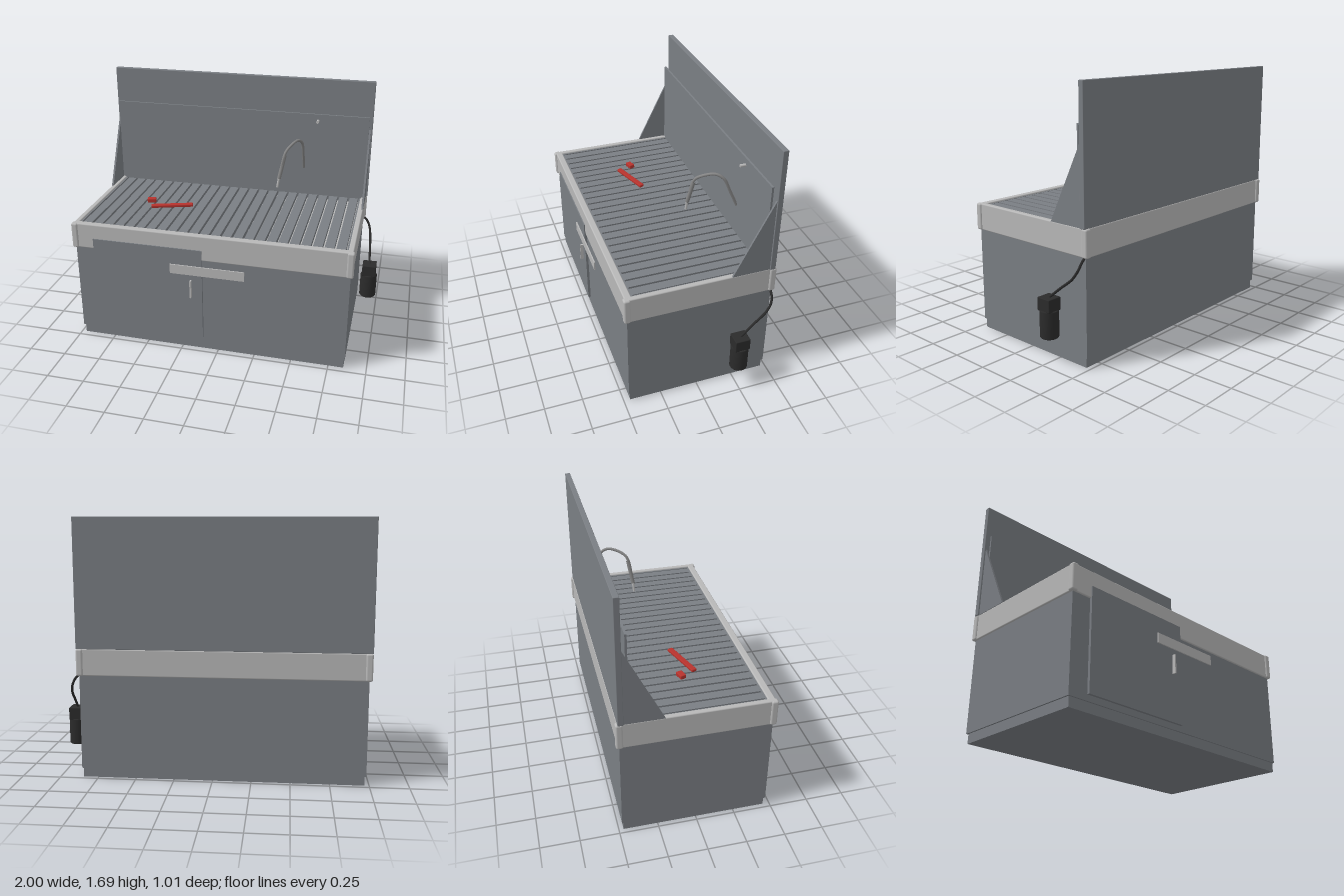
import * as THREE from 'three';
import { RoundedBoxGeometry } from 'three/addons/geometries/RoundedBoxGeometry.js';

const mat = (name, color, side = THREE.FrontSide) => {
  const m = new THREE.MeshStandardMaterial({ color, side });
  m.name = name;
  return m;
};

export function createModel() {
  const group = new THREE.Group();
  const steel = mat('slate steel', 0x7a7e83);
  const light = mat('light aluminium', 0xb8b8b8);
  const chrome = mat('pipe grey', 0x858585);
  const black = mat('black plastic', 0x2b2b2b);
  const red = mat('red tool', 0xb8332d);

  const add = (name, geometry, material, x = 0, y = 0, z = 0) => {
    const mesh = new THREE.Mesh(geometry, material);
    mesh.name = name;
    mesh.position.set(x, y, z);
    group.add(mesh);
    return mesh;
  };
  // Box given by its limits on each axis, optionally with rounded edges
  const box = (name, m, x0, x1, y0, y1, z0, z1, r = 0) => {
    const s = [x1 - x0, y1 - y0, z1 - z0];
    const g = r ? new RoundedBoxGeometry(...s, 3, r) : new THREE.BoxGeometry(...s);
    return add(name, g, m, (x0 + x1) / 2, (y0 + y1) / 2, (z0 + z1) / 2);
  };
  const tube = (name, m, pts, r) => {
    const curve = new THREE.CatmullRomCurve3(pts.map(p => new THREE.Vector3(...p)), false, 'centripetal');
    return add(name, new THREE.TubeGeometry(curve, 40, r, 12), m);
  };

  // Cabinet and plinth
  box('plinth', steel, -0.97, 0.85, 0, 0.062, -0.47, 0.457);
  box('cabinet', steel, -0.98, 0.857, 0.062, 0.69, -0.48, 0.466);

  // Door, label plate and latch
  box('door', steel, -0.85, -0.1, 0.1, 0.755, 0.464, 0.483);
  box('handlePlate', light, -0.315, 0.185, 0.575, 0.64, 0.485, 0.493);
  box('latch', light, -0.18, -0.17, 0.41, 0.535, 0.483, 0.505);

  // Tabletop frame: four rails and rounded corner posts
  const y0 = 0.68, y1 = 0.855;
  box('frontRail', light, -0.97, 0.845, y0, y1, 0.43, 0.476, 0.008);
  box('backRail', light, -0.97, 0.845, y0, y1, -0.49, -0.445, 0.008);
  box('rightRail', light, -0.99, -0.955, y0, y1, -0.475, 0.46, 0.008);
  box('leftRail', light, 0.83, 0.865, y0, y1, -0.475, 0.46, 0.008);
  for (const x of [-0.977, 0.852])
    for (const z of [-0.479, 0.465])
      box('cornerPost', light, x - 0.022, x + 0.022, y0, y1, z - 0.022, z + 0.022, 0.012);

  // Tray floor seen through the slatted worktop
  box('trayFloor', light, -0.96, 0.835, 0.69, 0.81, -0.45, 0.435);
  const slats = 24, gx0 = -0.942, pitch = (0.82 - gx0) / slats;
  for (let i = 0; i < slats; i++) {
    const x = gx0 + i * pitch;
    box('slat', steel, x + 0.007, x + pitch - 0.007, 0.815, 0.845, -0.43, 0.425);
  }
  for (const z of [-0.44, 0.42]) box('slatEndBar', steel, -0.955, 0.83, 0.812, 0.846, z, z + 0.012);
  for (const x of [-0.955, 0.82]) box('slatSideBar', steel, x, x + 0.01, 0.812, 0.846, -0.43, 0.425);

  // Back wall, inner splash panel and triangular side wings
  box('backWall', steel, -1, 0.875, 0.853, 1.687, -0.488, -0.453, 0.003);
  box('splashPanel', steel, -0.978, 0.853, 0.845, 1.447, -0.43, -0.417);
  const wing = new THREE.Shape([
    new THREE.Vector2(0.205, 0.853), new THREE.Vector2(0.455, 0.853), new THREE.Vector2(0.455, 1.355),
  ]);
  const wingGeo = new THREE.ExtrudeGeometry(wing, { depth: 0.013, bevelEnabled: false });
  wingGeo.rotateY(Math.PI / 2);
  add('rightWing', wingGeo, steel, -0.991, 0, 0);
  add('leftWing', wingGeo, steel, 0.853, 0, 0);

  // Tap: bent pipe, thicker hose sleeve, nozzle and wall button
  tube('tapPipe', chrome, [
    [0.412, 1.05, -0.42], [0.412, 1.17, -0.366], [0.407, 1.265, -0.322], [0.385, 1.295, -0.275],
    [0.345, 1.275, -0.195], [0.32, 1.24, -0.157], [0.285, 1.06, -0.126],
  ], 0.0095);
  tube('tapSleeve', chrome, [[0.317, 1.225, -0.154], [0.301, 1.142, -0.14], [0.285, 1.06, -0.126]], 0.013);
  tube('tapNozzle', light, [[0.285, 1.062, -0.126], [0.28, 1.03, -0.124], [0.276, 0.998, -0.122]], 0.008);
  const button = add('wallButton', new THREE.CylinderGeometry(0.01, 0.01, 0.04, 16), light, 0.5, 1.4, -0.4);
  button.rotation.x = Math.PI / 2;

  // Red tool and block lying on the worktop
  box('redBar', red, -0.582, -0.293, 0.845, 0.865, 0.021, 0.057, 0.006).rotation.y = 0.32;
  box('redBlock', red, -0.635, -0.575, 0.845, 0.873, -0.031, 0.009, 0.005).rotation.y = 0.32;

  // Hanging pump on a cable
  const px = 0.94, pz = -0.254;
  const body = [[0, 0.165], [0.052, 0.165], [0.058, 0.172], [0.058, 0.333], [0.052, 0.34], [0, 0.34]];
  const profile = body.map(p => new THREE.Vector2(...p));
  add('pumpBody', new THREE.LatheGeometry(profile, 32).toNonIndexed(), black, px, 0, pz);
  box('pumpCap', black, px - 0.048, px + 0.048, 0.335, 0.418, pz - 0.05, pz + 0.05, 0.005);
  tube('pumpCable', black, [
    [0.855, 0.69, -0.475], [0.885, 0.66, -0.474], [0.908, 0.615, -0.465],
    [0.921, 0.56, -0.43], [0.93, 0.49, -0.345], [0.938, 0.415, -0.256],
  ], 0.008);

  return group;
}
